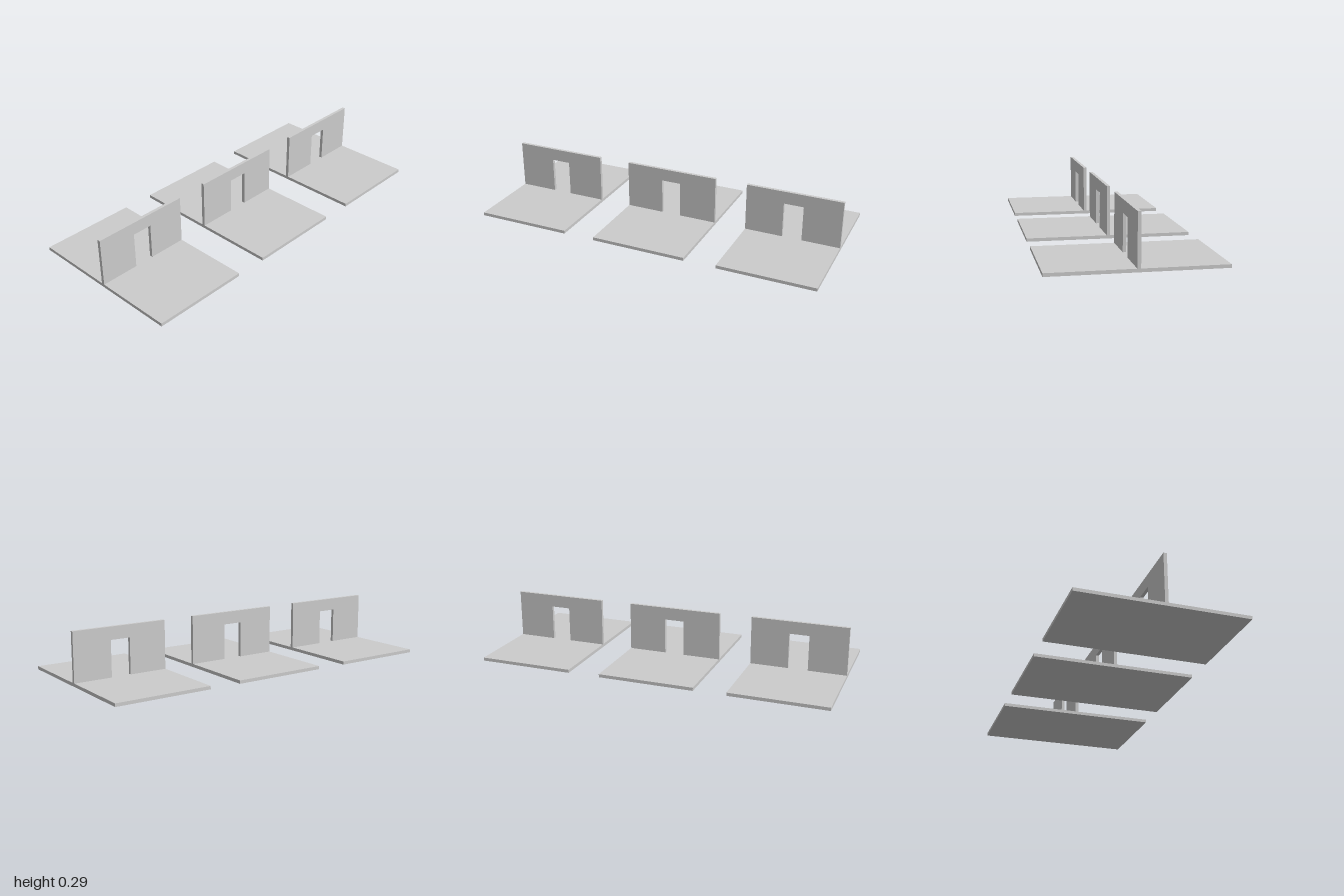
import * as THREE from 'three';

const DEPTH = 0.544, SLAB = 0.018, WALL = 0.018, TOP = 0.291;

// Wall outline with a doorway notch open to the floor, extruded along its thickness
function wallGeometry() {
  const h = TOP - SLAB, d = DEPTH / 2, door = 0.056, doorTop = 0.22 - SLAB;
  const shape = new THREE.Shape([
    [-d, 0], [-door, 0], [-door, doorTop], [door, doorTop],
    [door, 0], [d, 0], [d, h], [-d, h],
  ].map(([x, y]) => new THREE.Vector2(x, y)));
  return new THREE.ExtrudeGeometry(shape, { depth: WALL, bevelEnabled: false })
    .translate(0, 0, -WALL / 2)
    .rotateY(Math.PI / 2);
}

export function createModel() {
  const group = new THREE.Group();
  const material = new THREE.MeshStandardMaterial({ color: 0xcccccc });
  const floorGeo = new THREE.BoxGeometry(0.906, SLAB, DEPTH);
  const wallGeo = wallGeometry();

  // Three separate floor slabs, each with a dividing wall slightly offset sideways
  const units = [
    { name: 'front', z: 0.728, wallX: 0.009 },
    { name: 'middle', z: 0, wallX: 0.003 },
    { name: 'back', z: -0.728, wallX: -0.001 },
  ];
  for (const { name, z, wallX } of units) {
    const unit = new THREE.Group();
    unit.name = name + 'Unit';
    unit.position.z = z;

    const floor = new THREE.Mesh(floorGeo, material);
    floor.name = name + 'Floor';
    floor.position.y = SLAB / 2;

    const wall = new THREE.Mesh(wallGeo, material);
    wall.name = name + 'DoorwayWall';
    wall.position.set(wallX, SLAB, 0);

    unit.add(floor, wall);
    group.add(unit);
  }
  return group;
}
